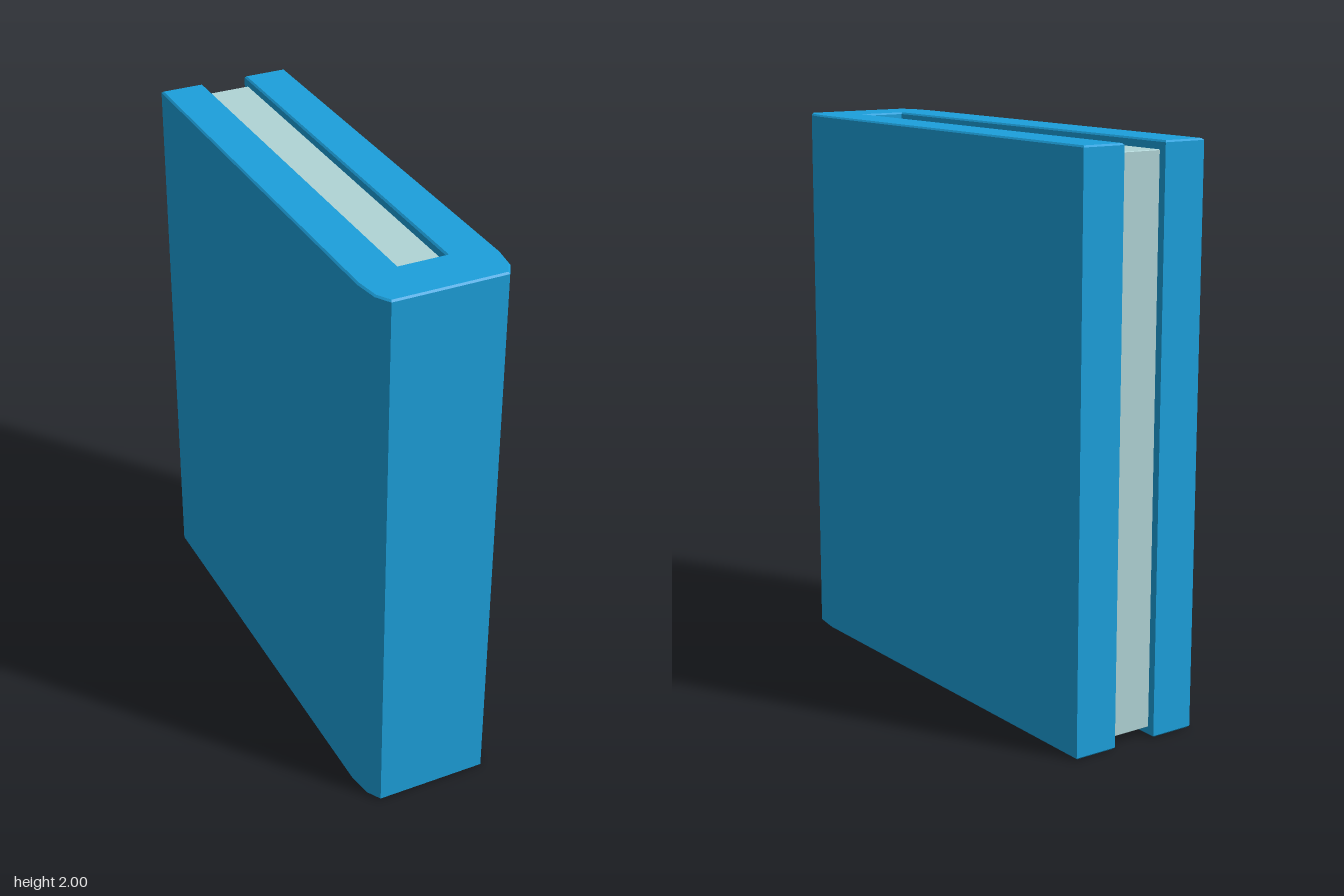
import * as THREE from 'three';
import { toCreasedNormals } from 'three/addons/utils/BufferGeometryUtils.js';

const HEIGHT = 2;

// Extrude a plan outline of [x, z] points upward, with a tiny softened edge
function extrudeUp(points, y0, y1, bevel) {
  const shape = new THREE.Shape(points.map(([x, z]) => new THREE.Vector2(x, -z)));
  const geometry = new THREE.ExtrudeGeometry(shape, {
    depth: y1 - y0 - 2 * bevel,
    bevelEnabled: true,
    bevelThickness: bevel,
    bevelSize: bevel,
    bevelOffset: -bevel,
    bevelSegments: 1,
  });
  geometry.rotateX(-Math.PI / 2);
  geometry.translate(0, y0 + bevel, 0);
  return toCreasedNormals(geometry, 0.5);
}

function addPart(group, name, geometry, color) {
  const mesh = new THREE.Mesh(geometry, new THREE.MeshStandardMaterial({ color }));
  mesh.name = name;
  group.add(mesh);
}

export function createModel() {
  const group = new THREE.Group();
  group.name = 'book';

  // Cover: U-shaped plan, open at the back, with a chamfered spine in front
  const half = [
    [0.083, 0.675], [0.083, -0.86], [0.243, -0.86],
    [0.243, 0.65], [0.243, 0.72], [0.23, 0.81], [0.2, 0.86],
  ];
  const mirrored = half.map(([x, z]) => [-x, z]).reverse();
  addPart(group, 'cover', extrudeUp([...half, ...mirrored], 0, HEIGHT, 0.006), 0x1ca0dc);

  // Page block: slightly recessed at the top, bottom and back
  const pages = [[-0.085, 0.68], [0.085, 0.68], [0.085, -0.832], [-0.085, -0.832]];
  addPart(group, 'pages', extrudeUp(pages, 0.03, HEIGHT - 0.03, 0.002), 0xb0d4d6);

  return group;
}
